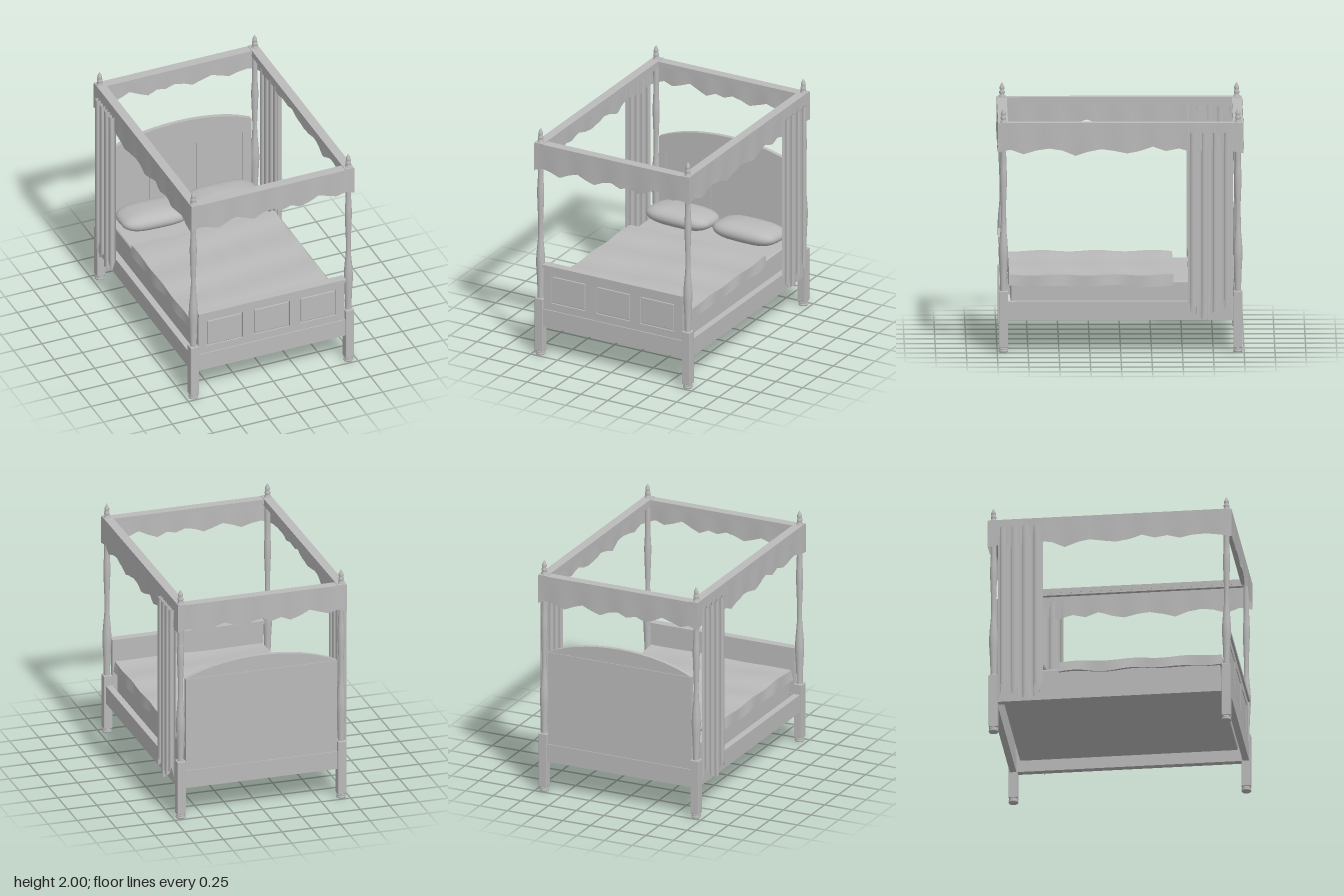
import * as THREE from 'three';
import { RoundedBoxGeometry } from 'three/addons/geometries/RoundedBoxGeometry.js';

const grey = new THREE.MeshStandardMaterial({ color: 0xbababa });
grey.name = 'plain grey';
grey.side = THREE.DoubleSide;

export function createModel() {
  const model = new THREE.Group();
  model.name = 'canopyBed';

  const add = (name, geometry, x = 0, y = 0, z = 0, parent = model) => {
    const mesh = new THREE.Mesh(geometry, grey);
    mesh.name = name;
    mesh.position.set(x, y, z);
    parent.add(mesh);
    return mesh;
  };
  // box given by its limits on each axis
  const box = (name, x0, x1, y0, y1, z0, z1) =>
    add(name, new THREE.BoxGeometry(x1 - x0, y1 - y0, z1 - z0), (x0 + x1) / 2, (y0 + y1) / 2, (z0 + z1) / 2);
  const lathe = (points) => new THREE.LatheGeometry(points.map(([r, y]) => new THREE.Vector2(r, y)), 16);
  // value of an evenly spaced list at t in 0..1
  const sample = (list, t) => {
    const f = Math.min(1, Math.max(0, t)) * (list.length - 1), i = Math.min(Math.floor(f), list.length - 2);
    return list[i] + (list[i + 1] - list[i]) * (f - i);
  };
  // move every vertex by a rule
  const shape = (geometry, rule) => {
    const p = geometry.attributes.position, v = new THREE.Vector3();
    for (let i = 0; i < p.count; i++) {
      rule(v.fromBufferAttribute(p, i));
      p.setXYZ(i, v.x, v.y, v.z);
    }
    geometry.computeVertexNormals();
    return geometry;
  };

  // Four posts: bun foot, square leg, turned shaft and finial
  const foot = lathe([[0, 0], [0.037, 0], [0.041, 0.008], [0.037, 0.016], [0.034, 0.02], [0.039, 0.028], [0.034, 0.036], [0, 0.036]]);
  const shaftCurve = new THREE.SplineCurve([
    [0.026, 0.49], [0.026, 0.54], [0.03, 0.66], [0.037, 0.8], [0.033, 0.9], [0.022, 1.03], [0.02, 1.15],
    [0.026, 1.32], [0.029, 1.44], [0.024, 1.54], [0.023, 1.66], [0.025, 1.86],
  ].map(([r, y]) => new THREE.Vector2(r, y)));
  const shaft = new THREE.LatheGeometry(shaftCurve.getPoints(44), 16);
  const finial = lathe([[0.027, 1.87], [0.027, 1.89], [0.016, 1.897], [0.023, 1.91], [0.023, 1.925], [0.014, 1.935],
    [0.02, 1.945], [0.019, 1.96], [0.01, 1.982], [0, 2]]);
  for (const x of [-0.685, 0.685]) for (const z of [-0.95, 0.95]) {
    const post = new THREE.Group();
    post.name = 'post';
    post.position.set(x, 0, z);
    model.add(post);
    add('foot', foot, 0, 0, 0, post);
    add('squareLeg', new RoundedBoxGeometry(0.074, 0.465, 0.074, 1, 0.006), 0, 0.2675, 0, post);
    add('turnedShaft', shaft, 0, 0, 0, post);
    add('finial', finial, 0, 0, 0, post);
  }

  // Bed frame, open underneath
  for (const s of [-1, 1]) {
    const rail = box('sideRail', 0.65, 0.705, 0.26, 0.413, -0.915, 0.915);
    rail.position.x *= s;
  }
  box('footRail', -0.65, 0.65, 0.26, 0.413, 0.925, 0.977);
  box('headRail', -0.65, 0.65, 0.26, 0.413, -0.975, -0.922);

  // Boards with three framed panels
  const panelXs = [-0.415, 0, 0.41];
  const panelledBoard = (name, y0, y1, p0, p1, z, depth, recess) => {
    const outline = new THREE.Shape();
    outline.moveTo(-0.645, y0).lineTo(0.645, y0).lineTo(0.645, y1).lineTo(-0.645, y1).closePath();
    for (const x of panelXs) {
      const hole = new THREE.Path();
      hole.moveTo(x - 0.16, p0).lineTo(x - 0.16, p1).lineTo(x + 0.16, p1).lineTo(x + 0.16, p0).closePath();
      outline.holes.push(hole);
      add(name + 'Panel', new THREE.BoxGeometry(0.33, p1 - p0 + 0.01, depth - recess), x, (p0 + p1) / 2, z + (depth - recess) / 2);
    }
    add(name, new THREE.ExtrudeGeometry(outline, { depth, bevelEnabled: false }), 0, 0, z);
  };
  panelledBoard('headboard', 0.4, 1.21, 0.5, 1.1, -0.968, 0.04, 0.006);
  panelledBoard('footboard', 0.4, 0.785, 0.475, 0.72, 0.93, 0.038, 0.012);
  box('footboardCap', -0.65, 0.65, 0.782, 0.808, 0.915, 0.985);
  // raised fields of the footboard panels
  for (const x of panelXs) add('raisedField', new RoundedBoxGeometry(0.3, 0.225, 0.02, 1, 0.005), x, 0.5975, 0.956);
  // arched crown of the headboard, stepped in slightly at the back
  const crown = new THREE.Shape();
  crown.moveTo(-0.645, 1.21).lineTo(0.645, 1.21).bezierCurveTo(0.3, 1.382, -0.3, 1.382, -0.645, 1.21);
  add('headboardCrown', new THREE.ExtrudeGeometry(crown, { depth: 0.034, bevelEnabled: false, curveSegments: 14 }), 0, 0, -0.962);

  // Mattress, hanging down between the rails
  add('mattress', new RoundedBoxGeometry(1.24, 0.23, 1.78, 3, 0.015), 0, 0.455, 0);

  // Blanket: gently rippled top, sides and foot
  const blanket = new THREE.BoxGeometry(1.26, 0.09, 1.33, 24, 2, 28);
  add('blanket', shape(blanket, (v) => {
    const z = v.z + 0.238, x = v.x;
    const hang = 0.5 - v.y / 0.09;
    v.y = 0.622 + 0.006 * Math.sin(14 * z + 1.5 * x) + 0.003 * Math.sin(9 * x) - hang * (0.09 + 0.005 * Math.sin(9 * z + 7 * x));
    if (Math.abs(x) > 0.62) v.x += Math.sign(x) * hang * 0.008 * (1 + Math.sin(15 * z));
    v.z = z > 0.9 ? z + hang * 0.006 * (1 + Math.sin(28 * x)) : z;
  }));

  // Pillows: plump rounded cushions
  const pow = (a, e) => Math.sign(a) * Math.abs(a) ** e;
  for (const s of [-1, 1]) {
    const cushion = shape(new THREE.SphereGeometry(1, 32, 20), (v) => {
      const r = Math.hypot(v.x, v.z) || 1;
      v.set(0.3 * pow(v.x / r, 0.55) * r ** 0.8, 0.085 * pow(v.y, 0.95), 0.18 * pow(v.z / r, 0.6) * r ** 0.8);
    });
    const pillow = add('pillow', cushion, s * 0.31, 0.66, -0.725);
    pillow.rotation.set(-0.08, -0.04, 0);
  }

  // Canopy rails
  for (const s of [-1, 1]) {
    box('canopySideRail', s * 0.68 - 0.038, s * 0.68 + 0.038, 1.84, 1.88, -0.993, 0.993);
    box('canopySideLip', s * 0.655 - 0.012, s * 0.655 + 0.012, 1.82, 1.845, -0.92, 0.92);
    box('canopyEndRail', -0.65, 0.65, 1.835, 1.875, s * 0.952 - 0.04, s * 0.952 + 0.04);
  }

  // Valances: cloth strips with an uneven lower edge
  const endHem = [1.64, 1.66, 1.645, 1.62, 1.655, 1.68, 1.65, 1.625, 1.66, 1.675, 1.645, 1.665, 1.63, 1.66, 1.7, 1.67, 1.645, 1.67, 1.64];
  const sideHem = [1.64, 1.66, 1.625, 1.655, 1.67, 1.655, 1.61, 1.645, 1.665, 1.65, 1.63, 1.65, 1.685, 1.65, 1.67, 1.64, 1.66, 1.67, 1.65, 1.63];
  const valance = (length, hem, x, z, turn) => {
    const cloth = shape(new THREE.PlaneGeometry(length, 1, (hem.length - 1) * 2, 4), (v) => {
      const drop = 0.5 - v.y;
      v.y = 1.872 + (sample(hem, v.x / length + 0.5) - 1.872) * drop;
      v.z = 0.005 * Math.sin(v.x * 22) * drop;
    });
    add('valance', cloth, x, 0, z).rotation.y = turn;
  };
  valance(1.44, endHem, 0, 0.995, 0);
  valance(1.44, endHem, 0, -0.995, Math.PI);
  valance(1.99, sideHem, 0.72, 0, Math.PI / 2);
  valance(1.99, sideHem, -0.72, 0, -Math.PI / 2);

  // Curtains: four deep folds beside the head posts, ragged at the bottom
  const curtainHem = [0.42, 0.31, 0.39, 0.29, 0.27, 0.3, 0.26, 0.3, 0.37, 0.31, 0.33, 0.44, 0.36, 0.42, 0.27];
  for (const s of [-1, 1]) {
    const cloth = shape(new THREE.PlaneGeometry(1, 1, 56, 10), (v) => {
      const t = v.x + 0.5, drop = 0.5 - v.y, angle = (t * 4 - 0.5) * Math.PI * 2;
      v.x = s * (0.737 + 0.021 * Math.cos(angle));
      v.y = 1.8 + (sample(curtainHem, t) - 1.8) * drop;
      v.z = -0.545 - 0.365 * t - 0.012 * Math.sin(angle * 2);
    });
    add('curtain', cloth);
  }

  return model;
}
